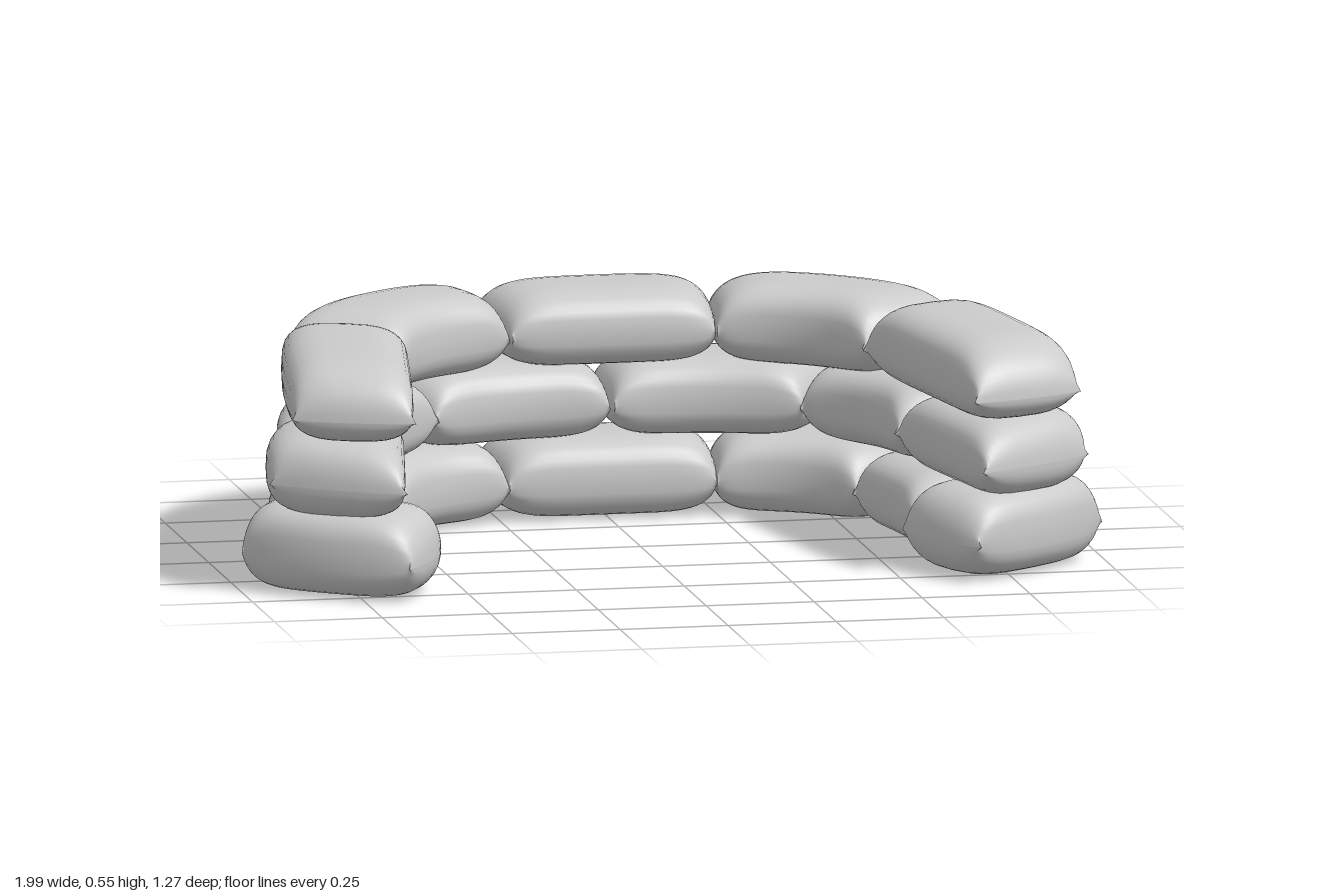
import * as THREE from 'three';

const RINGS = 40, SIDES = 32;
const material = new THREE.MeshStandardMaterial({ color: 0xcccccc });

// A point on a bowed edge from a to b (t = -1..1); bow pushes the middle outward
function edgePoint(a, b, bow, t) {
  const dx = b[0] - a[0], dz = b[1] - a[1], len = Math.hypot(dx, dz);
  const s = (t + 1) / 2, push = bow * (1 - t * t) / len;
  return [a[0] + dx * s + dz * push, a[1] + dz * s - dx * push];
}

// Filled sack between an outer and an inner edge, pinched to a seam at both ends
function makeSack({ outer, inner, bow = [0, 0], y, tip = 0.42, bulge = 0.03 }) {
  const [y0, y1] = y, half = (y1 - y0) / 2, yMid = (y0 + y1) / 2;
  const yTip = y0 + (y1 - y0) * tip;
  const positions = [], index = [];
  for (let j = 0; j <= RINGS; j++) {
    const t = Math.sin((j / RINGS - 0.5) * Math.PI);       // rings crowd toward the ends
    const fill = Math.max(0, 1 - Math.abs(t) ** 5.5) ** 0.47;
    // slight narrowing before the ends, then small pointed ears
    const width = 1 - 0.05 * Math.abs(t) ** 10 + 0.08 * Math.abs(t) ** 120;
    for (let k = 0; k < SIDES; k++) {
      const a = (k / SIDES) * Math.PI * 2, c = Math.cos(a), s = Math.sin(a);
      const v = Math.sign(c) * Math.abs(c) ** 0.62 * width;
      const h = Math.sign(s) * Math.abs(s) ** 0.68;
      // the ends swell a little between the ears
      const tt = t * (1 + bulge * (1 - v * v));
      const o = edgePoint(outer[0], outer[1], bow[0], tt);
      const i = edgePoint(inner[0], inner[1], bow[1], tt);
      const m = (v + 1) / 2;
      positions.push(
        i[0] + (o[0] - i[0]) * m,
        yTip + (yMid + half * h - yTip) * fill,
        i[1] + (o[1] - i[1]) * m);
      if (j < RINGS) {
        const k2 = (k + 1) % SIDES, p = j * SIDES, q = p + SIDES;
        index.push(p + k, p + k2, q + k, p + k2, q + k2, q + k);
      }
    }
  }
  const geometry = new THREE.BufferGeometry();
  geometry.setAttribute('position', new THREE.Float32BufferAttribute(positions, 3));
  geometry.setIndex(index);
  geometry.computeVertexNormals();
  return new THREE.Mesh(geometry, material);
}

// Mirror across x, reversing the run so the faces stay outward
const flip = (edge) => edge.map(([x, z]) => [-x, z]).reverse();
const mirror = (sack) => ({ ...sack, outer: flip(sack.outer), inner: flip(sack.inner) });

const bottom = [0, 0.19], middle = [0.18, 0.365], top = [0.345, 0.535];

// Sacks lying across the middle of the back
const centreSacks = [
  { name: 'bottomCentreSack', y: bottom, bow: [0.025, 0],
    outer: [[-0.27, -0.6], [0.27, -0.6]], inner: [[-0.24, -0.31], [0.24, -0.31]] },
  { name: 'topCentreSack', y: [0.35, 0.53], bow: [0.03, 0],
    outer: [[-0.27, -0.61], [0.27, -0.61]], inner: [[-0.235, -0.3], [0.235, -0.3]] },
];

// Sacks of the left arm, repeated on the right
const sideSacks = [
  { name: 'BottomCornerSack', y: bottom, bow: [0.08, 0.04],
    outer: [[0.28, -0.6], [0.77, -0.28]], inner: [[0.24, -0.31], [0.52, -0.13]] },
  { name: 'BottomArmSack', y: [0, 0.185], bow: [0.03, 0.01],
    outer: [[0.78, -0.28], [0.87, 0.21]], inner: [[0.52, -0.13], [0.575, 0.24]] },
  { name: 'BottomEndSack', y: [0, 0.205], bow: [0.03, 0], bulge: 0.11,
    outer: [[0.995, 0.355], [0.66, 0.625]], inner: [[0.87, 0.17], [0.535, 0.36]] },
  { name: 'MiddleBackSack', y: middle, bow: [0.075, 0.03],
    outer: [[0.005, -0.615], [0.56, -0.47]], inner: [[0.005, -0.32], [0.42, -0.24]] },
  { name: 'MiddleCornerSack', y: middle, bow: [0.07, 0.04],
    outer: [[0.56, -0.47], [0.85, 0.07]], inner: [[0.42, -0.24], [0.57, 0.1]] },
  { name: 'MiddleEndSack', y: middle, bow: [0.02, 0], bulge: 0.06,
    outer: [[0.855, 0.08], [0.945, 0.44]], inner: [[0.57, 0.11], [0.67, 0.625]] },
  { name: 'TopCornerSack', y: top, bow: [0.09, 0.045],
    outer: [[0.28, -0.61], [0.79, -0.19]], inner: [[0.24, -0.31], [0.53, -0.07]] },
  { name: 'TopEndSack', y: [0.355, 0.545], tip: 0.34, bow: [0.015, 0],
    outer: [[0.79, -0.18], [0.91, 0.525]], inner: [[0.53, -0.06], [0.65, 0.625]] },
];

export function createModel() {
  const wall = new THREE.Group();
  wall.name = 'sandbagWall';
  const add = (sack, name) => {
    const mesh = makeSack(sack);
    mesh.name = name;
    wall.add(mesh);
  };
  for (const sack of centreSacks) add(sack, sack.name);
  for (const sack of sideSacks) {
    add(sack, 'left' + sack.name);
    add(mirror(sack), 'right' + sack.name);
  }
  return wall;
}
